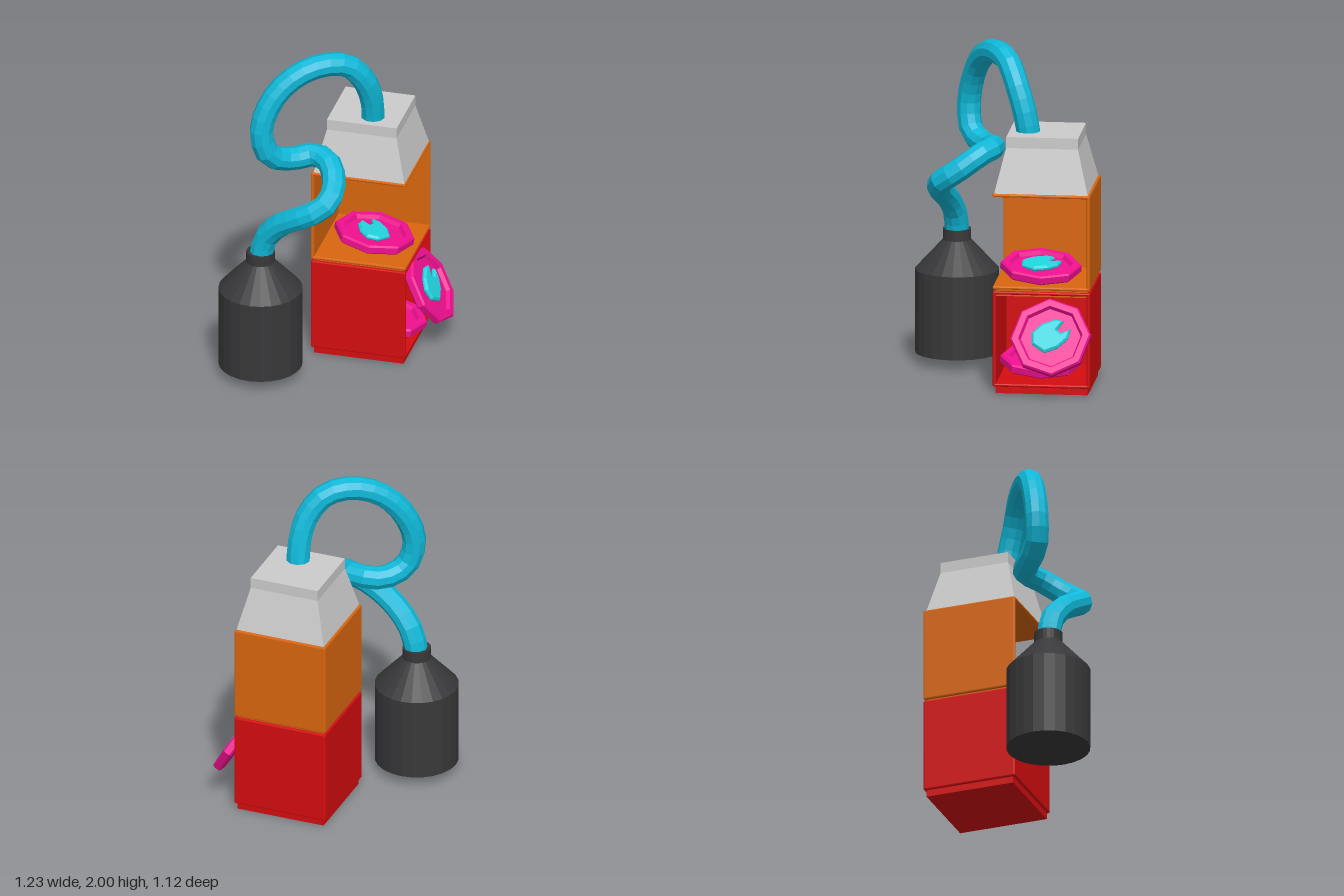
import * as THREE from 'three';
import { RoundedBoxGeometry } from 'three/addons/geometries/RoundedBoxGeometry.js';

const mat = (color, extra = {}) => new THREE.MeshStandardMaterial({ color, flatShading: true, ...extra });
const red = mat(0xd50d10), orange = mat(0xd9660f), grey = mat(0xcccccc), dark = mat(0x38383a);
const cyan = mat(0x0fb8d8), pink = mat(0xf01090), gemMat = mat(0x22d3dd);

function add(parent, name, geometry, material, x = 0, y = 0, z = 0) {
  const mesh = new THREE.Mesh(geometry, material);
  mesh.name = name;
  mesh.position.set(x, y, z);
  parent.add(mesh);
  return mesh;
}

const CX = 0.135, CZ = -0.263, S = 0.57, T = 0.02;

// Cubic crate made of thin bevelled panels, without the listed open sides
function crate(name, y0, material, open) {
  const g = new THREE.Group();
  g.name = name;
  g.position.set(CX, y0 + S / 2, CZ);
  const o = (S - T) / 2;
  const panels = {
    floor: [S, T, S, 0, -o, 0], ceiling: [S, T, S, 0, o, 0],
    leftWall: [T, S, S, o, 0, 0], rightWall: [T, S, S, -o, 0, 0],
    frontWall: [S, S, T, 0, 0, o], backWall: [S, S, T, 0, 0, -o],
  };
  for (const [key, [w, h, d, x, y, z]] of Object.entries(panels)) {
    if (!open.includes(key)) add(g, key, new RoundedBoxGeometry(w, h, d, 1, 0.008), material, x, y, z);
  }
  // Inset foot below the floor
  add(g, 'foot', new THREE.BoxGeometry(S - 0.03, 0.045, S - 0.03), material, 0, -S / 2 - 0.0175, 0);
  return g;
}

// Octagonal dish with a raised rim and a notched gem in the recess
function dish(name, position, normal, spin) {
  const g = new THREE.Group();
  g.name = name;
  g.position.set(...position);
  g.quaternion.setFromUnitVectors(new THREE.Vector3(0, 1, 0), new THREE.Vector3(...normal).normalize());
  g.rotateY(spin);
  const profile = [[0, -0.028], [0.222, -0.028], [0.236, -0.018], [0.236, 0.018], [0.226, 0.028],
    [0.188, 0.028], [0.175, 0.006], [0, 0.006]].map(p => new THREE.Vector2(...p));
  add(g, 'rim', new THREE.LatheGeometry(profile, 8), pink);
  const outline = [[-0.11, -0.04], [-0.11, 0.03], [-0.05, 0.08], [0.03, 0.105], [0.08, 0.09], [0.04, 0.04],
    [0.06, 0.02], [0.12, 0.04], [0.1, -0.02], [0.04, -0.07], [-0.04, -0.095]];
  const shape = new THREE.Shape(outline.map(([r, u]) => new THREE.Vector2(-u, r)));
  const gem = new THREE.ExtrudeGeometry(shape, {
    depth: 0.01, bevelThickness: 0.012, bevelSize: 0.012, bevelOffset: -0.012, bevelSegments: 1,
  });
  gem.rotateX(-Math.PI / 2);
  add(g, 'gem', gem, gemMat, 0, 0.012, 0);
  return g;
}

export function createModel() {
  const model = new THREE.Group();
  model.name = 'crateTowerWithHose';

  // Stacked crates
  model.add(crate('lowerCrate', 0.04, red, ['leftWall']));
  model.add(crate('upperCrate', 0.62, orange, ['leftWall', 'frontWall']));

  // Tapered hood: four-sided lathe turned square to the crates
  const hood = [[0, 1.185], [0.275, 1.185], [0.21, 1.45], [0.21, 1.515], [0, 1.515]]
    .map(([h, y]) => new THREE.Vector2(h * Math.SQRT2, y));
  add(model, 'hood', new THREE.LatheGeometry(hood, 4, Math.PI / 4), grey, CX + 0.003, 0, CZ + 0.003);

  // Dishes: one in the upper crate, two in the lower
  model.add(dish('upperDish', [0.165, 0.705, -0.232], [0.15, 1, -0.06], 0.1));
  model.add(dish('lowerDish', [0.24, 0.165, -0.24], [0.15, 1, -0.06], 0.1));
  model.add(dish('leaningDish', [0.472, 0.352, -0.325], [0.86, 0.51, 0], 0.08));

  // Bottle with shoulder and neck
  const bottle = [[0, 0.065], [0.245, 0.065], [0.245, 0.56], [0.083, 0.735], [0.083, 0.8], [0, 0.8]]
    .map(p => new THREE.Vector2(...p));
  add(model, 'bottle', new THREE.LatheGeometry(bottle, 24), dark, -0.372, 0, 0.319);

  // Looping hose from hood to bottle
  const path = new THREE.CatmullRomCurve3([
    [0.175, 1.48, -0.165], [0.177, 1.62, -0.14], [0.145, 1.78, -0.09], [0.06, 1.9, -0.03], [-0.06, 1.93, 0.05],
    [-0.2, 1.885, 0.135], [-0.32, 1.76, 0.205], [-0.385, 1.56, 0.25], [-0.345, 1.39, 0.23], [-0.24, 1.33, 0.135],
    [-0.11, 1.345, 0.075], [0, 1.325, 0.14], [0.053, 1.235, 0.27], [0.02, 1.165, 0.37], [-0.09, 1.1, 0.39],
    [-0.24, 1.01, 0.355], [-0.335, 0.9, 0.325], [-0.37, 0.77, 0.319],
  ].map(p => new THREE.Vector3(...p)));
  add(model, 'hose', new THREE.TubeGeometry(path, 36, 0.07, 10), cyan);

  return model;
}
